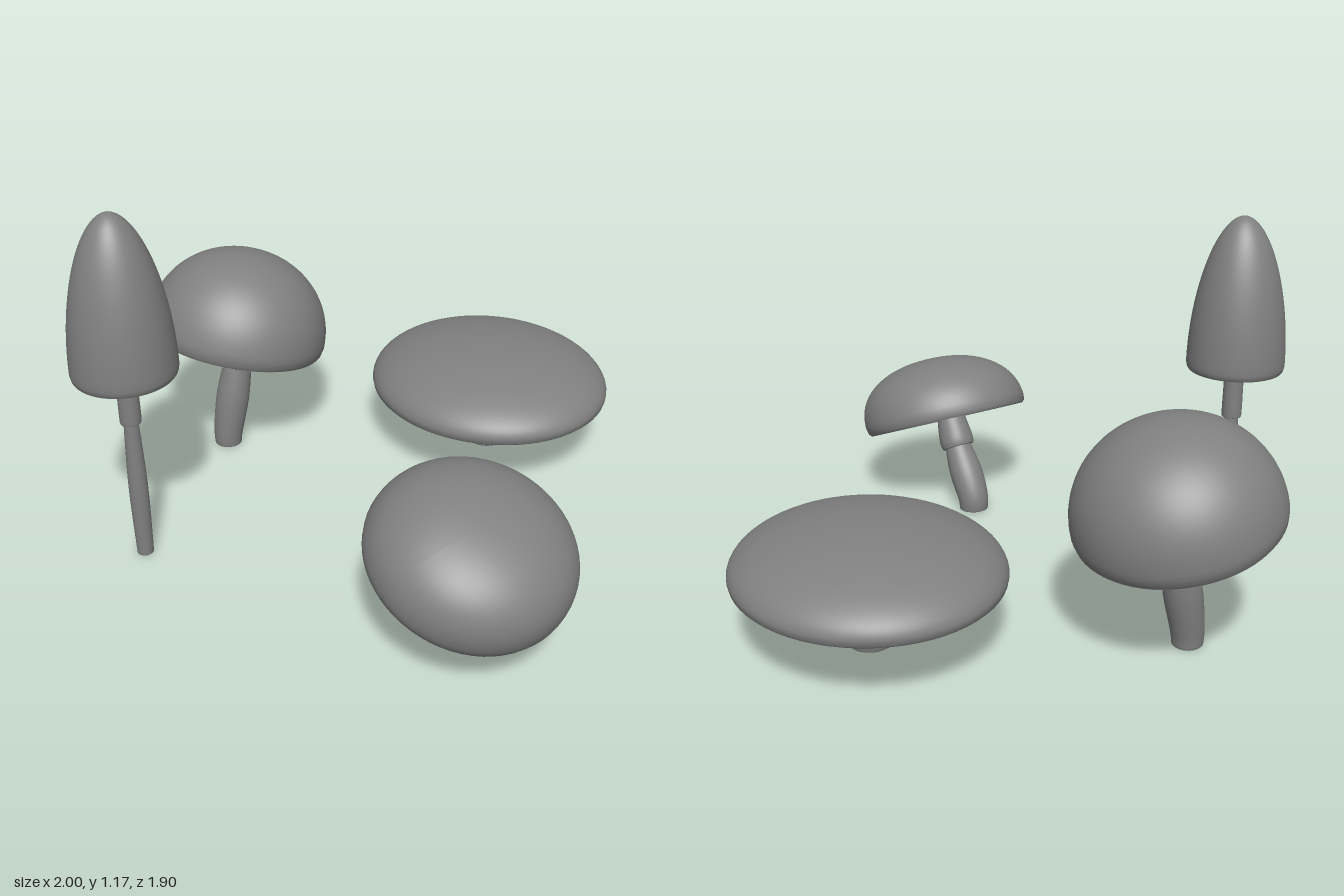
import * as THREE from 'three';
import { mergeVertices } from 'three/addons/utils/BufferGeometryUtils.js';

const material = new THREE.MeshStandardMaterial({ color: 0x808080 });
const V2 = (x, y) => new THREE.Vector2(x, y);

// Smooth side through three radii, closed by flat ends with tight edges
function turned([r0, r1, r2], [y0, y1, y2]) {
  const pts = new THREE.SplineCurve([V2(r0, y0), V2(r1, y1), V2(r2, y2)]).getPoints(24);
  const e = 0.002;
  return new THREE.LatheGeometry([V2(0, y0), V2(r0 - 2 * e, y0), V2(r0 - e, y0), V2(r0, y0 + e),
    ...pts.slice(1, -1), V2(r2, y2 - e), V2(r2 - e, y2), V2(r2 - 2 * e, y2), V2(0, y2)], 40);
}

// Curve that leaves the ground upright and then leans over
function leaningPath(midX, midY, topX, topY) {
  return new THREE.CatmullRomCurve3([[0, 0], [0.002, 0.04], [midX, midY], [topX, topY]]
    .map(([x, y]) => new THREE.Vector3(x, y, 0)));
}

// Moves an upright lathe so that its axis follows a curve in the xy plane
function bend(geometry, curve) {
  geometry.deleteAttribute('uv');
  geometry.deleteAttribute('normal');
  const g = mergeVertices(geometry, 1e-5);
  const pos = g.attributes.position;
  const length = curve.getLength();
  for (let i = 0; i < pos.count; i++) {
    const t = Math.min(1, pos.getY(i) / length);
    const p = curve.getPointAt(t), d = curve.getTangentAt(t), x = pos.getX(i);
    pos.setXY(i, p.x + d.y * x, p.y - d.x * x);
  }
  g.computeVertexNormals();
  return g;
}

// Hollow cap: cavity, rounded lip, then dome; the rim lies on y = 0
function capGeometry({ radius, height, power, lip, wall, cavity }) {
  const pts = [];
  const inner = radius * (1 - wall);
  for (let i = 0; i <= 16; i++) {
    const a = (i / 16) * Math.PI / 2;
    pts.push(V2(inner * Math.sin(a), lip * 0.4 + (cavity - lip * 0.4) * Math.cos(a)));
  }
  pts.push(V2(radius * (1 - wall * 0.8), lip * 0.1), V2(radius * (1 - wall * 0.6), 0),
    V2(radius - lip * 0.45, 0), V2(radius - lip * 0.15, lip * 0.3));
  for (let i = 0; i <= 32; i++) {
    const a = (i / 32) * Math.PI / 2;
    pts.push(V2(i === 32 ? 0 : radius * Math.cos(a) ** (2 / power),
      lip + (height - lip) * Math.sin(a) ** (2 / power)));
  }
  return new THREE.LatheGeometry(pts, 64);
}

// Bent stems lean towards +x, or towards -z when bendTurn is a quarter turn
function mushroom({ name, x, z, stem, collar, curve, bendTurn = 0, cap, capAt,
  tiltX = 0, tiltZ = 0, lean = 0, depth = 1 }) {
  const group = new THREE.Group();
  group.name = name;
  group.position.set(x, 0, z);
  const add = (geometry, partName) => {
    const mesh = new THREE.Mesh(geometry, material);
    mesh.name = partName;
    group.add(mesh);
    return mesh;
  };
  for (const [partName, part] of Object.entries({ stem, collar })) {
    const geometry = turned(part.radii, part.heights);
    add(curve ? bend(geometry, curve) : geometry, partName).rotation.y = bendTurn;
  }
  const geometry = capGeometry(cap);
  // A lean pushes the crown sideways
  if (lean) {
    geometry.applyMatrix4(new THREE.Matrix4().makeShear(0, 0, lean, 0, 0, 0));
    geometry.computeVertexNormals();
  }
  const capMesh = add(geometry, 'cap');
  capMesh.position.set(...capAt);
  capMesh.rotation.set(tiltX, 0, tiltZ);
  capMesh.scale.z = depth;
  return group;
}

export function createModel() {
  const model = new THREE.Group();
  model.name = 'mushrooms';

  model.add(mushroom({
    name: 'tallMushroom', x: -0.261, z: 0.787,
    stem: { radii: [0.026, 0.03, 0.022], heights: [0, 0.25, 0.5] },
    collar: { radii: [0.031, 0.033, 0.027], heights: [0.485, 0.54, 0.95] },
    cap: { radius: 0.161, height: 0.51, power: 1.88, lip: 0.02, wall: 0.07, cavity: 0.36 },
    capAt: [0, 0.655, 0],
  }));

  model.add(mushroom({
    name: 'roundMushroom', x: -0.686, z: 0.24,
    curve: leaningPath(0.034, 0.2, 0.1, 0.48), bendTurn: Math.PI / 2,
    stem: { radii: [0.048, 0.059, 0.048], heights: [0, 0.18, 0.33] },
    collar: { radii: [0.061, 0.062, 0.04], heights: [0.31, 0.35, 0.49] },
    cap: { radius: 0.314, height: 0.33, power: 2.05, lip: 0.035, wall: 0.07, cavity: 0.06 },
    capAt: [0, 0.405, -0.057], tiltX: -0.26,
  }));

  model.add(mushroom({
    name: 'leaningMushroom', x: 0.494, z: 0.237,
    curve: leaningPath(0.104, 0.21, 0.18, 0.365),
    stem: { radii: [0.052, 0.06, 0.045], heights: [0, 0.14, 0.26] },
    collar: { radii: [0.059, 0.062, 0.045], heights: [0.24, 0.28, 0.4] },
    cap: { radius: 0.308, height: 0.24, power: 2.2, lip: 0.03, wall: 0.07, cavity: 0.05 },
    capAt: [0.181, 0.296, 0], tiltZ: -0.415, lean: 0.14, depth: 0.985,
  }));

  model.add(mushroom({
    name: 'flatMushroom', x: -0.15, z: -0.547,
    stem: { radii: [0.071, 0.081, 0.058], heights: [0, 0.08, 0.28] },
    collar: { radii: [0.062, 0.087, 0.066], heights: [0.16, 0.195, 0.225] },
    cap: { radius: 0.438, height: 0.167, power: 1.95, lip: 0.02, wall: 0.04, cavity: 0.035 },
    capAt: [0, 0.224, 0], depth: 0.93,
  }));
  return model;
}
